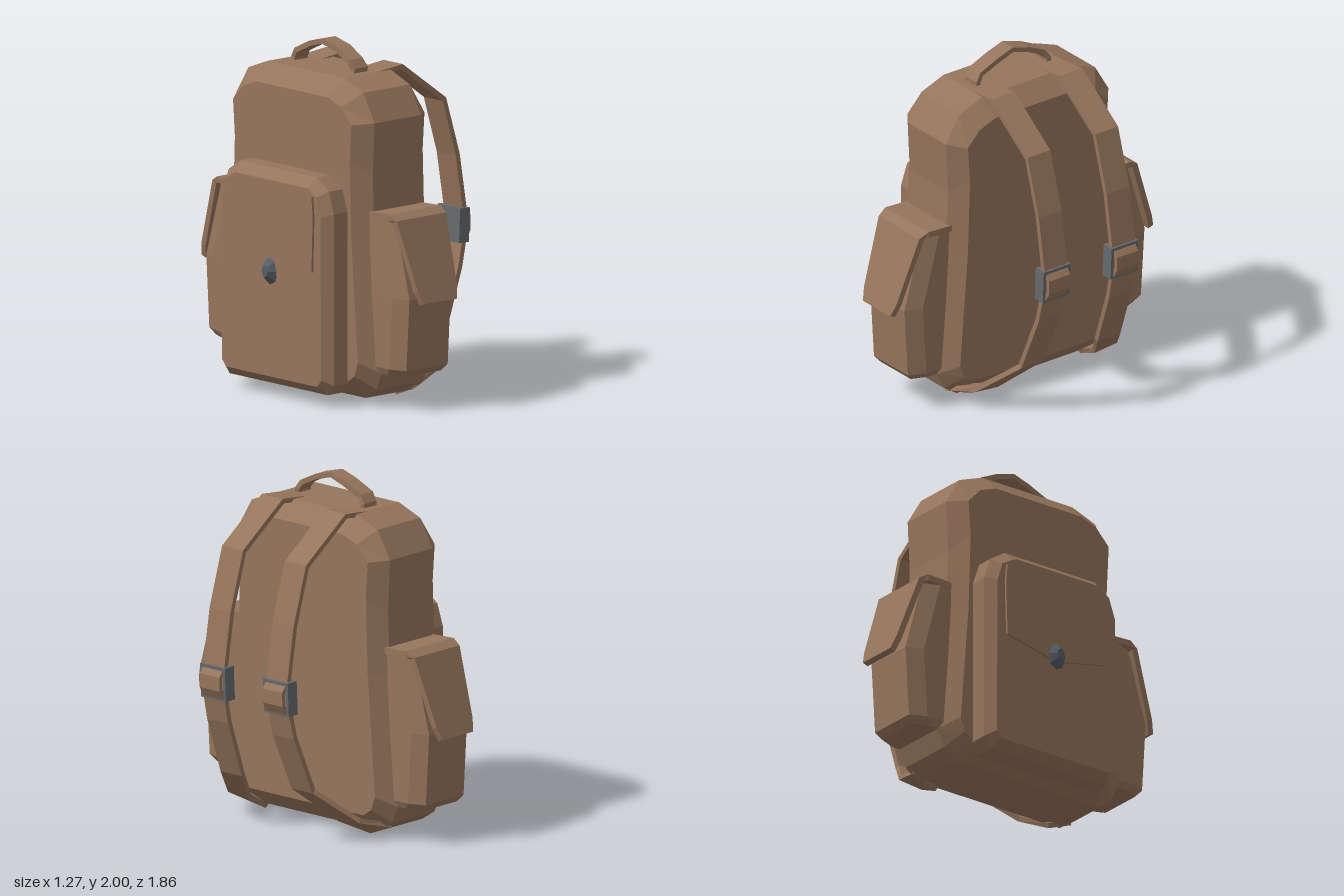
import * as THREE from 'three';

const V = (x, y, z) => new THREE.Vector3(x, y, z);

// Skin over a list of equal-length rings, capped at both ends, always facing outwards.
function loft(rings) {
  const pos = [];
  const tri = (a, b, c) => pos.push([a, b, c]);
  const n = rings[0].length;
  for (let i = 0; i < rings.length - 1; i++) {
    for (let j = 0; j < n; j++) {
      const k = (j + 1) % n, a = rings[i], b = rings[i + 1];
      tri(a[j], a[k], b[k]);
      tri(a[j], b[k], b[j]);
    }
  }
  const cap = (ring, flip) => {
    const c = ring.reduce((s, p) => s.add(p), V(0, 0, 0)).divideScalar(n);
    ring.forEach((p, j) => {
      const q = ring[(j + 1) % n];
      if (flip) tri(c, q, p); else tri(c, p, q);
    });
  };
  cap(rings[0], true);
  cap(rings[rings.length - 1], false);
  const volume = pos.reduce((s, [a, b, c]) => s + a.dot(b.clone().cross(c)), 0);
  const flat = [];
  pos.forEach(([a, b, c]) => (volume < 0 ? [a, c, b] : [a, b, c]).forEach(p => flat.push(p.x, p.y, p.z)));
  const g = new THREE.BufferGeometry();
  g.setAttribute('position', new THREE.Float32BufferAttribute(flat, 3));
  g.computeVertexNormals();
  return g;
}

// Flat webbing along a path: each point has its own centre, half-width vector and thickness.
function band(points, thickness) {
  return loft(points.map(({ p, w }, i) => {
    const prev = points[Math.max(i - 1, 0)].p, next = points[Math.min(i + 1, points.length - 1)].p;
    const nrm = next.clone().sub(prev).cross(w).normalize().multiplyScalar(thickness / 2);
    return [[1, 1], [1, -1], [-1, -1], [-1, 1]].map(([a, b]) =>
      p.clone().addScaledVector(w, a).addScaledVector(nrm, b));
  }));
}

// Mirrored closed outline in the z-y plane from its +z half, placed at x.
const outline = (half, x) => [
  ...half.map(([z, y]) => V(x, y, z)),
  ...half.slice().reverse().map(([z, y]) => V(x, y, -z)),
];

export function createModel() {
  const fabric = new THREE.MeshStandardMaterial({ color: 0x96755c });
  const metal = new THREE.MeshStandardMaterial({ color: 0x66696c });
  const stud = new THREE.MeshStandardMaterial({ color: 0x585e66 });
  [fabric, metal, stud].forEach(m => { m.flatShading = true; });
  fabric.name = 'brown fabric';
  metal.name = 'grey buckle';
  stud.name = 'dark button';

  const model = new THREE.Group();
  model.name = 'backpack';
  const add = (name, geometry, material = fabric, parent = model) => {
    const mesh = new THREE.Mesh(geometry, material);
    mesh.name = name;
    parent.add(mesh);
    return mesh;
  };

  // Main bag with bevelled front and back rims
  const bagOuter = [[0.32, 1.84], [0.48, 1.78], [0.575, 1.62], [0.56, 1.32], [0.575, 0.95],
    [0.625, 0.32], [0.635, 0.2], [0.59, 0.1], [0.5, 0.04]];
  const bagInner = [[0.3, 1.74], [0.41, 1.7], [0.495, 1.61], [0.48, 1.4], [0.495, 0.95],
    [0.545, 0.32], [0.55, 0.26], [0.52, 0.18], [0.46, 0.14]];
  add('mainBag', loft([outline(bagInner, -0.428), outline(bagOuter, -0.325),
    outline(bagOuter, 0.025), outline(bagInner, 0.122)]));

  // Large pocket
  const pocketOuter = [[0.32, 1.3], [0.42, 1.235], [0.463, 1.11], [0.463, 0.13], [0.41, 0.07]];
  const pocketInner = [[0.3, 1.245], [0.375, 1.2], [0.41, 1.09], [0.415, 0.16], [0.38, 0.12]];
  add('largePocket', loft([outline(pocketOuter, -0.4), outline(pocketOuter, -0.53),
    outline(pocketInner, -0.584)]));

  // Pointed flap over the large pocket
  const flap = [[0.29, 1.245], [0.35, 1.2], [0.36, 1.09], [0.35, 0.77], [0.02, 0.7]];
  add('largePocketFlap', loft([outline(flap, -0.575), outline(flap, -0.598)]));

  // Button: domed eight-sided disc
  const button = add('button', new THREE.CylinderGeometry(0.4, 1, 1, 8), stud);
  button.rotation.z = Math.PI / 2;
  button.scale.set(0.082, 0.043, 0.062);
  button.position.set(-0.614, 0.73, 0);

  // Carry handle
  const handle = [[0.25, 1.82], [0.25, 1.86], [0.222, 1.9], [0.11, 1.955], [0, 1.985],
    [-0.11, 1.955], [-0.222, 1.9], [-0.25, 1.86], [-0.25, 1.82]];
  add('carryHandle', band(handle.map(([z, y], i) => ({
    p: V(-0.15 + (i % 2 ? 0.004 : -0.004), y, z), w: V(0.05, 0, 0),
  })), 0.03));

  for (const s of [1, -1]) {
    const side = s > 0 ? 'left' : 'right';

    // Side pocket: horizontal sections with chamfered outer corners
    const sections = [[0.2, 0.79, 0.02], [0.24, 0.825, 0], [0.65, 0.85, 0], [1.08, 0.73, 0.005]];
    add(side + 'SidePocket', loft(sections.map(([y, z, inset]) => {
      const a = 0.195 - inset, b = 0.155 - inset;
      return [[-a, 0.5], [-a, z - 0.1], [-b, z], [b, z], [a, z - 0.1], [a, 0.5]]
        .map(([x, d]) => V(-0.155 + x, y, d * s));
    })));

    // Side pocket flap: short top and a tapering outward-hanging cover
    const cover = [[0.5, 1.095, 0.197], [0.715, 1.105, 0.197], [0.755, 1.085, 0.185],
      [0.888, 0.7, 0.148], [0.914, 0.627, 0.125]];
    add(side + 'SidePocketFlap', band(cover.map(([z, y, w]) => ({ p: V(-0.15, y, z * s), w: V(w, 0, 0) })), 0.036));

    // Shoulder strap: x, y, z centre and twist of the webbing
    const strap = [[-0.07, 1.825, 0.24, 0], [0.11, 1.845, 0.24, 0], [0.43, 1.615, 0.24, 0],
      [0.53, 1.285, 0.24, 0], [0.585, 0.95, 0.24, 0], [0.58, 0.82, 0.245, 0], [0.54, 0.645, 0.25, 0],
      [0.41, 0.315, 0.27, 0], [0.19, 0.12, 0.42, 0.1], [-0.01, 0.045, 0.475, 0.4]];
    add(side + 'ShoulderStrap', band(strap.map(([x, y, z, k]) => ({
      p: V(x, y, z * s), w: V(0, 0.08 * k * s, 0.08),
    })), 0.03));

    // Strap buckle: backed frame, slightly tilted
    const buckle = new THREE.Group();
    buckle.name = side + 'Buckle';
    buckle.position.set(0.567, 0.878, 0.24 * s);
    buckle.rotation.z = -0.05;
    model.add(buckle);
    const box = (name, w, h, d, x, y, z) => {
      add(name, new THREE.BoxGeometry(w, h, d), metal, buckle).position.set(x, y, z);
    };
    box('bucklePlate', 0.02, 0.196, 0.19, -0.027, 0, 0);
    for (const e of [1, -1]) {
      box('buckleBar', 0.074, 0.018, 0.19, 0, 0.089 * e, 0);
      box('buckleSide', 0.074, 0.196, 0.018, 0, 0, 0.086 * e);
    }

    // Webbing looped through the buckle
    const loop = [[0.575, 0.965], [0.6, 0.945], [0.62, 0.92], [0.62, 0.845], [0.59, 0.795]];
    add(side + 'BuckleLoop', band(loop.map(([x, y]) => ({ p: V(x, y, 0.24 * s), w: V(0, 0, 0.075) })), 0.024));
  }
  return model;
}
